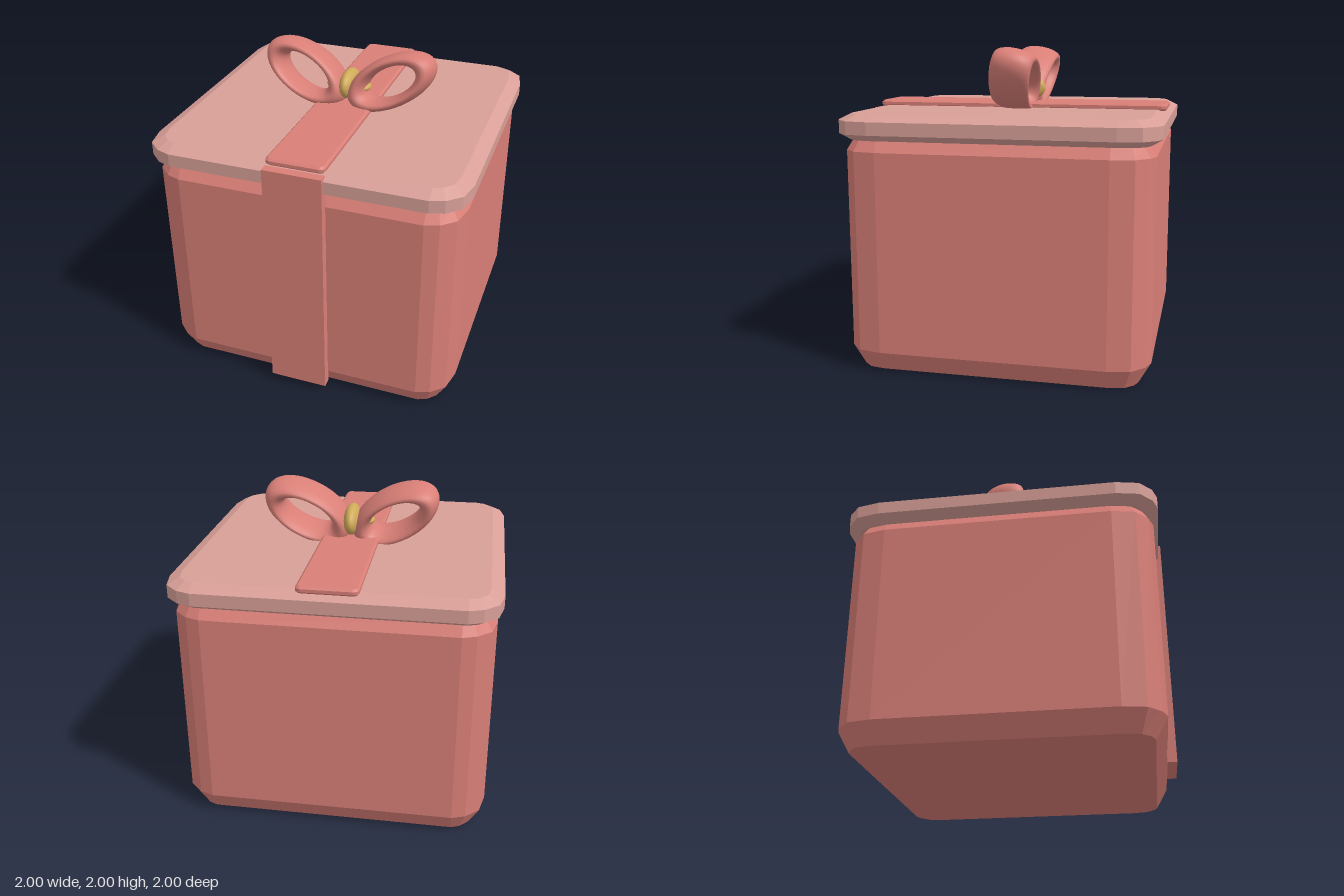
import * as THREE from 'three';

const mat = (name, color) => {
  const m = new THREE.MeshStandardMaterial({ color });
  m.name = name;
  return m;
};

// Rectangle outline with three-facet corners, seen from above
function outline(hx, hz, cx, cz, inset) {
  const corner = [[0, 1], [0.43, 0.88], [0.85, 0.57], [1, 0]]; // z side towards x side
  const px = Math.max(cx - inset, 0.002), pz = Math.max(cz - inset, 0.002);
  const quarter = corner.map(([u, v]) => [hx - cx + u * px, hz - cz + v * pz]);
  const flipped = [...quarter].reverse();
  return [
    ...quarter,
    ...flipped.map(([x, z]) => [x, -z]),
    ...quarter.map(([x, z]) => [-x, -z]),
    ...flipped.map(([x, z]) => [-x, z]),
  ];
}

// Closed faceted block lofted through layers of [y, inset]
function block(hx, hz, cx, cz, layers) {
  const pos = [], index = [], n = 16, last = layers.length - 1;
  for (const [y, inset] of layers) {
    for (const [x, z] of outline(hx, hz, cx, cz, inset)) pos.push(x, y, z);
  }
  for (let l = 0; l < last; l++) {
    for (let i = 0; i < n; i++) {
      const a = l * n + i, b = l * n + (i + 1) % n;
      index.push(a, b, b + n, a, b + n, a + n);
    }
  }
  for (let i = 1; i < n - 1; i++) {
    index.push(0, i + 1, i);
    index.push(last * n, last * n + i, last * n + i + 1);
  }
  const g = new THREE.BufferGeometry();
  g.setAttribute('position', new THREE.Float32BufferAttribute(pos, 3));
  g.setIndex(index);
  const flat = g.toNonIndexed();
  flat.computeVertexNormals();
  return flat;
}

export function createModel() {
  const root = new THREE.Group();
  root.name = 'giftBox';
  const red = mat('coral red', 0xd97f77);
  const pink = mat('dusty pink', 0xd89f97);
  const gold = mat('gold', 0xcfaa58);

  const add = (name, geometry, material, x = 0, y = 0, z = 0) => {
    const m = new THREE.Mesh(geometry, material);
    m.name = name;
    m.position.set(x, y, z);
    root.add(m);
    return m;
  };

  // Box and lid with chamfered rims
  add('boxBody', block(0.97, 0.953, 0.2, 0.25,
    [[0, 0.075], [0.13, 0], [1.38, 0], [1.45, 0.045]]), red, 0, 0, -0.007);
  add('lid', block(1, 0.99, 0.2, 0.25,
    [[1.445, 0.07], [1.485, 0], [1.565, 0], [1.603, 0.08]]), pink, 0, 0, -0.01);

  // Ribbon strips
  add('frontRibbon', new THREE.BoxGeometry(0.37, 1.54, 0.06), red, 0, 0.815, 0.97);
  add('topRibbon', block(0.185, 0.967, 0.035, 0.035,
    [[1.595, 0.012], [1.606, 0], [1.625, 0], [1.637, 0.014]]), red, 0, 0, -0.01);

  // Two leaning bow loops
  const loop = new THREE.TorusGeometry(1, 0.28, 20, 48);
  loop.scale(0.242, 0.128, 0.47);
  for (const side of [1, -1]) {
    const m = add(side > 0 ? 'leftBowLoop' : 'rightBowLoop', loop, red, side * 0.285, 1.785, -0.01);
    m.rotation.set(-0.2, 0, side * 0.52);
  }

  // Gold knot and the band that runs through the loops
  const ball = new THREE.SphereGeometry(1, 24, 16);
  const knot = add('knot', ball, gold, 0, 1.735, -0.01);
  knot.scale.set(0.055, 0.095, 0.145);
  knot.rotation.x = -0.1;
  const band = add('knotBand', ball, gold, 0, 1.73, 0);
  band.scale.set(0.15, 0.042, 0.1);

  return root;
}
